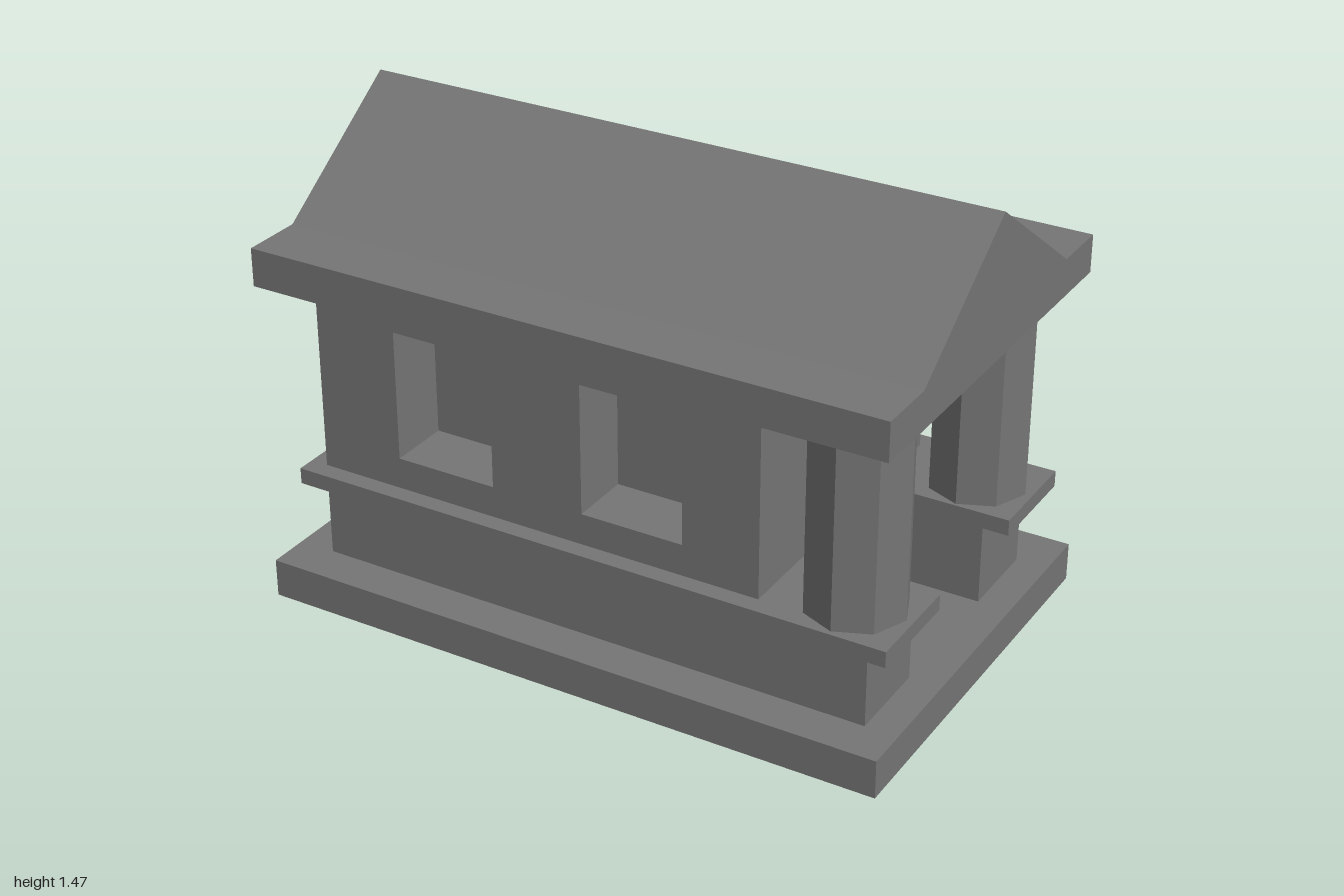
import * as THREE from 'three';

const material = new THREE.MeshStandardMaterial({ color: 0x757575, flatShading: true });

function add(parent, name, geometry) {
  const mesh = new THREE.Mesh(geometry, material);
  mesh.name = name;
  parent.add(mesh);
  return mesh;
}

// Box given by its limits on each axis
function block(parent, name, [x0, x1], [y0, y1], [z0, z1]) {
  const mesh = add(parent, name, new THREE.BoxGeometry(x1 - x0, y1 - y0, z1 - z0));
  mesh.position.set((x0 + x1) / 2, (y0 + y1) / 2, (z0 + z1) / 2);
}

function rectangle(Type, x0, x1, y0, y1) {
  return new Type([[x0, y0], [x1, y0], [x1, y1], [x0, y1]].map(p => new THREE.Vector2(...p)));
}

const WALL_X = [-0.885, 0.567], WALL_Y = [0.417, 1.027];
const WINDOWS = [[-0.617, -0.293], [0.003, 0.327]];
const RECESS = 0.195;

// One long side: plinth, ledge, wall with window recesses, corner column.
// dir is +1 when the outer face looks toward +z, -1 toward -z.
function buildSide(name, dir, inner, outer, ledgeOuter, columnZ) {
  const side = new THREE.Group();
  side.name = name;
  const span = (a, b) => [Math.min(a, b), Math.max(a, b)];
  const recessZ = outer - dir * RECESS;

  block(side, 'plinth', [-0.885, 0.9], [0.12, 0.367], span(inner, outer));
  block(side, 'ledge', [-0.94, 0.98], [0.367, 0.417], span(inner, ledgeOuter));

  // Outer wall layer pierced by the windows, closed by an inner layer
  const face = rectangle(THREE.Shape, ...WALL_X, ...WALL_Y);
  for (const w of WINDOWS) face.holes.push(rectangle(THREE.Path, ...w, 0.515, 0.922));
  const wall = add(side, 'windowWall', new THREE.ExtrudeGeometry(face, { depth: RECESS, bevelEnabled: false }));
  wall.position.z = Math.min(recessZ, outer);
  block(side, 'wallBacking', WALL_X, WALL_Y, span(inner, recessZ));

  // Eight-sided column with corners on the axes
  const column = add(side, 'column', new THREE.CylinderGeometry(0.151, 0.151, 0.61, 8));
  column.position.set(0.808, 0.722, columnZ);
  return side;
}

export function createModel() {
  const model = new THREE.Group();
  model.name = 'temple';

  block(model, 'base', [-1, 1], [0, 0.12], [-0.643, 0.643]);
  model.add(buildSide('frontSide', 1, 0.242, 0.514, 0.57, 0.404));
  model.add(buildSide('backSide', -1, -0.212, -0.484, -0.542, -0.372));
  block(model, 'roofSlab', [-1, 1], [1.027, 1.145], [-0.643, 0.643]);

  // Gable prism running along x
  const gable = new THREE.Shape([[-0.453, 1.145], [0.453, 1.145], [0, 1.465]].map(p => new THREE.Vector2(...p)));
  const geometry = new THREE.ExtrudeGeometry(gable, { depth: 2, bevelEnabled: false });
  geometry.translate(0, 0, -1).rotateY(Math.PI / 2);
  add(model, 'gableRoof', geometry);

  return model;
}
